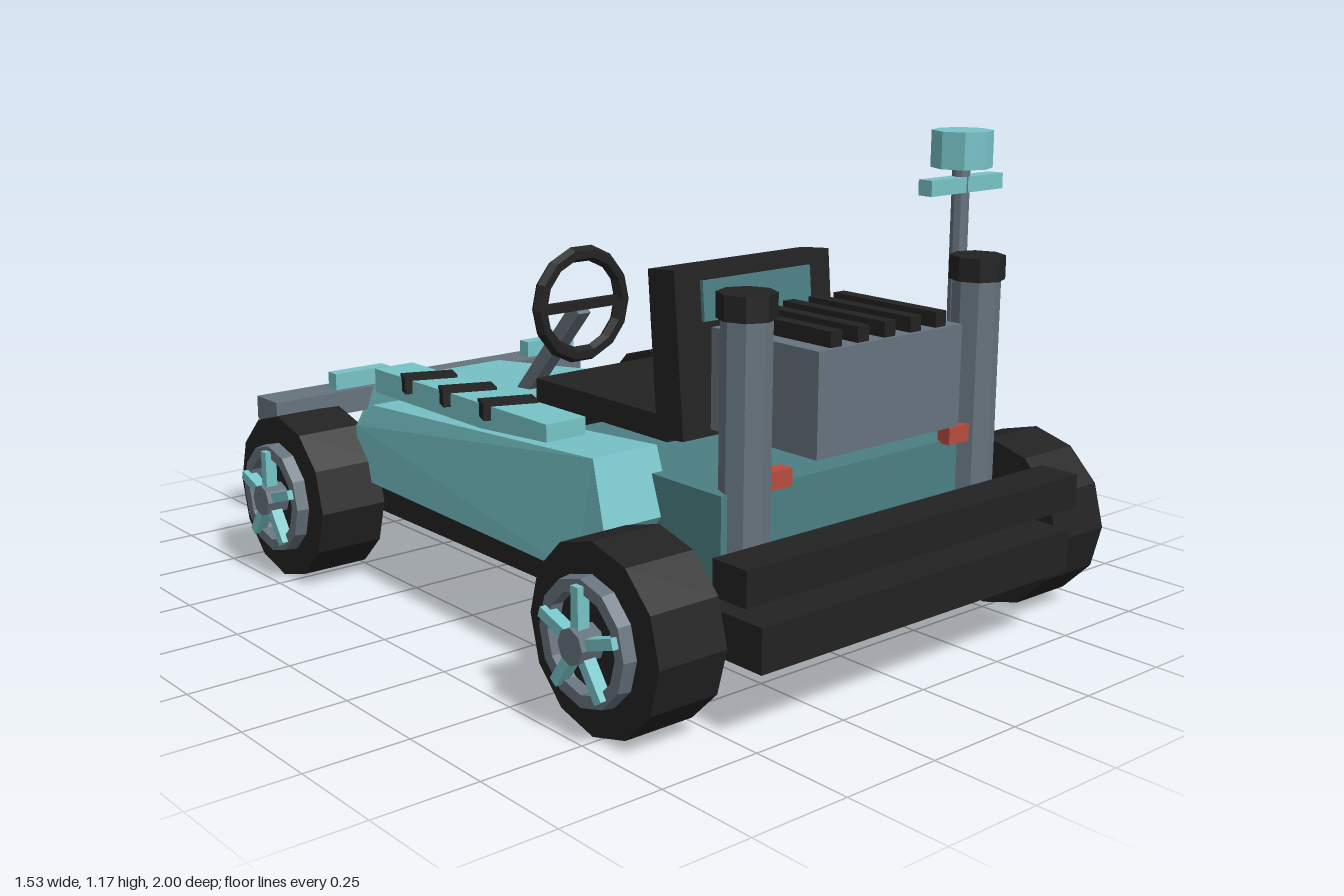
import * as THREE from 'three';

const mat = (name, color) => {
  const m = new THREE.MeshStandardMaterial({ color });
  m.name = name;
  return m;
};

export function createModel() {
  const teal = mat('teal paint', 0x77c4c8);
  const darkTeal = mat('dark teal paint', 0x4b7f83);
  const black = mat('black rubber', 0x222222);
  const grey = mat('grey metal', 0x66737e);
  const red = mat('red lamp', 0xb84a3e);

  const kart = new THREE.Group();
  kart.name = 'kart';

  // Faceted mesh
  const add = (name, geo, material, parent = kart) => {
    const g = geo.index ? geo.toNonIndexed() : geo;
    g.computeVertexNormals();
    const mesh = new THREE.Mesh(g, material);
    mesh.name = name;
    parent.add(mesh);
    return mesh;
  };
  // Box given by its ranges
  const box = (name, m, x0, x1, y0, y1, z0, z1, parent) =>
    add(name, new THREE.BoxGeometry(x1 - x0, y1 - y0, z1 - z0)
      .translate((x0 + x1) / 2, (y0 + y1) / 2, (z0 + z1) / 2), m, parent);
  // Upright cylinder given by its base and top
  const post = (name, m, r, x, y0, y1, z, sides) =>
    add(name, new THREE.CylinderGeometry(r, r, y1 - y0, sides).translate(x, (y0 + y1) / 2, z), m);
  // Move every vertex by a rule
  const reshape = (geo, rule) => {
    const p = geo.attributes.position;
    for (let i = 0; i < p.count; i++) p.setXYZ(i, ...rule(p.getX(i), p.getY(i), p.getZ(i)));
    return geo;
  };

  // Floor and bumpers
  box('floor', black, -0.49, 0.49, 0.165, 0.265, -0.825, 1.0);
  box('engineBumper', black, -0.525, 0.525, 0.31, 0.39, 0.89, 0.99);
  box('noseBumper', grey, -0.53, 0.53, 0.3, 0.365, -1.0, -0.89);

  // Nose, tapering towards -z
  add('nose', reshape(new THREE.BoxGeometry(2, 2, 2), (x, y, z) => {
    const top = y > 0;
    if (z < 0) return [x * (top ? 0.215 : 0.27), top ? 0.38 : 0.19, top ? -0.885 : -0.955];
    return [x * (top ? 0.39 : 0.41), top ? 0.45 : 0.19, top ? 0.075 : 0.125];
  }), teal);

  // Rear deck
  box('rearDeck', darkTeal, -0.43, 0.43, 0.26, 0.48, 0.18, 0.81);

  // Side pods with raised strips and slanted bands
  const podProfile = [[-0.42, 0.265], [0.52, 0.265], [0.62, 0.39], [0.57, 0.535], [-0.36, 0.465], [-0.43, 0.4]];
  for (const s of [-1, 1]) {
    const pod = new THREE.ExtrudeGeometry(
      new THREE.Shape(podProfile.map(([z, y]) => new THREE.Vector2(-z, y))),
      { depth: 1, bevelEnabled: false }).rotateY(Math.PI / 2);
    reshape(pod, (x, y, z) => {
      const outer = 0.567 + 0.033 * z - (y > 0.45 ? 0.01 : 0);
      const inner = 0.4;
      const onOuter = (x > 0.5) === (s > 0);
      return [s * (onOuter ? outer : inner), y, z];
    });
    add('sidePod', pod, teal);
    box('podStrip', teal, s * 0.485 - 0.055, s * 0.485 + 0.055, 0.5, 0.56, -0.35, 0.36);
    for (const z of [-0.19, -0.025, 0.14]) {
      const band = add('podBand', new THREE.BoxGeometry(0.13, 0.04, 0.06), black);
      band.position.set(s * 0.485, 0.547, z);
      band.rotation.y = -0.38;
    }
    box('noseFin', teal, s * 0.325 - 0.085, s * 0.325 + 0.085, 0.405, 0.45, -0.81, -0.77);
    // Exhaust stack and lamp
    post('exhaust', grey, 0.055, s * 0.36, 0.3, 0.85, 0.805, 8);
    post('exhaustCap', black, 0.064, s * 0.36, 0.845, 0.9, 0.805, 8);
    box('lamp', red, s * 0.305 - 0.055, s * 0.305 + 0.055, 0.475, 0.515, 0.8, 0.835);
  }

  // Seat
  box('seatCushion', black, -0.24, 0.24, 0.26, 0.54, -0.08, 0.42);
  const back = new THREE.Group();
  back.name = 'seatBack';
  back.position.set(0, 0.49, 0.435);
  back.rotation.x = -0.09;
  kart.add(back);
  box('backrest', black, -0.245, 0.245, 0, 0.39, -0.045, 0.045, back);
  box('headPanel', darkTeal, -0.17, 0.17, 0.265, 0.358, -0.055, 0.055, back);

  // Steering wheel and column
  add('steeringWheel', new THREE.TorusGeometry(0.135, 0.021, 6, 14).translate(0, 0.68, -0.205), black);
  const foot = new THREE.Vector3(0, 0.4, -0.45), hub = new THREE.Vector3(0, 0.67, -0.205);
  const column = add('steeringColumn', new THREE.BoxGeometry(0.04, 0.04, foot.distanceTo(hub)), grey);
  column.position.copy(foot).add(hub).multiplyScalar(0.5);
  column.lookAt(hub);
  box('steeringSpoke', black, -0.13, 0.13, 0.665, 0.69, -0.215, -0.195);

  // Engine with cooling fins
  box('engine', grey, -0.225, 0.225, 0.535, 0.768, 0.55, 0.88);
  for (let i = -2; i <= 2; i++)
    box('engineFin', black, i * 0.082 - 0.017, i * 0.082 + 0.017, 0.765, 0.803, 0.56, 0.87);

  // Mast with crossbar and drum
  post('mast', grey, 0.021, 0.44, 0.45, 1.09, 0.68, 8);
  box('mastCrossbar', teal, 0.315, 0.568, 1.025, 1.062, 0.66, 0.7);
  post('mastDrum', teal, 0.072, 0.44, 1.083, 1.17, 0.68, 8);

  // Axles and wheels
  const toX = (geo) => geo.rotateZ(-Math.PI / 2);
  for (const z of [0.73, -0.555]) {
    add('axle', toX(new THREE.CylinderGeometry(0.03, 0.03, 1.1, 8)).translate(0, 0.213, z), grey);
    for (const s of [-1, 1]) {
      const wheel = new THREE.Group();
      wheel.name = 'wheel';
      wheel.position.set(s * 0.617, 0.212, z);
      if (s < 0) wheel.rotation.y = Math.PI;
      kart.add(wheel);
      add('tyre', toX(new THREE.CylinderGeometry(0.21, 0.21, 0.178, 12)), black, wheel);
      const ring = [[0.11, 0.08], [0.143, 0.08], [0.138, 0.12], [0.11, 0.12], [0.11, 0.08]]
        .map(([r, h]) => new THREE.Vector2(r, h));
      add('rim', toX(new THREE.LatheGeometry(ring, 12)), grey, wheel);
      for (let i = 0; i < 5; i++) {
        const spoke = add('spoke', new THREE.BoxGeometry(0.03, 0.095, 0.024).translate(0.12, 0.078, 0), teal, wheel);
        spoke.rotation.x = i * Math.PI * 2 / 5;
      }
      add('hub', toX(new THREE.CylinderGeometry(0.04, 0.04, 0.07, 8)).translate(0.112, 0, 0), grey, wheel);
    }
  }
  return kart;
}
